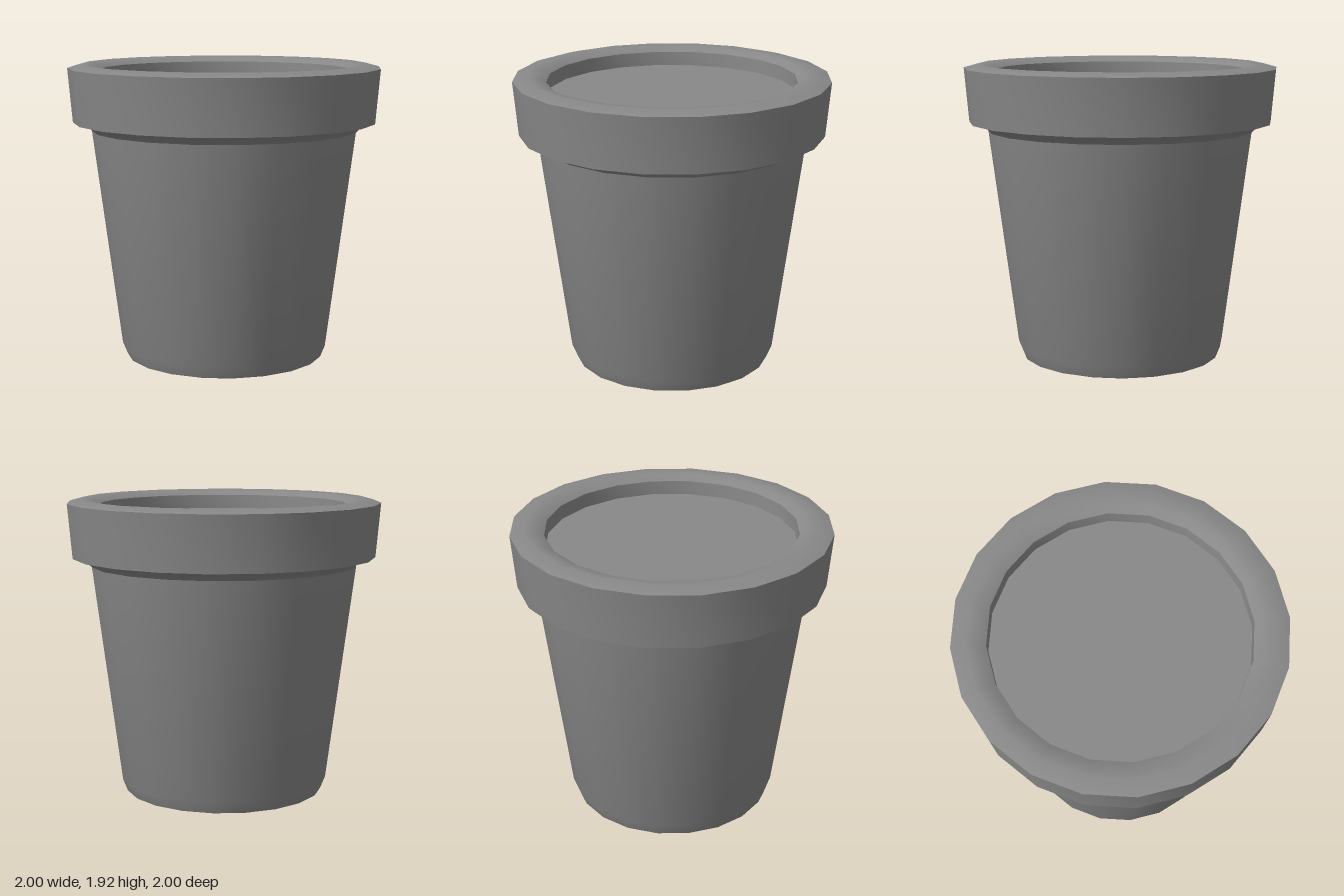
import * as THREE from 'three';
import { toCreasedNormals } from 'three/addons/utils/BufferGeometryUtils.js';

const SIDES = 20;
const CREASE = 0.65;

export function createModel() {
  const group = new THREE.Group();
  group.name = 'flowerPot';
  const material = new THREE.MeshStandardMaterial({ color: 0x888888 });

  const add = (name, geometry) => {
    const mesh = new THREE.Mesh(geometry, material);
    mesh.name = name;
    group.add(mesh);
    return mesh;
  };
  const lathe = (profile) => toCreasedNormals(
    new THREE.LatheGeometry(profile.map(([r, y]) => new THREE.Vector2(r, y)), SIDES), CREASE);

  // Tapered pot body with a rounded foot
  add('body', lathe([[0, 0], [0.56, 0], [0.64, 0.025], [0.67, 0.1], [0.85, 1.495]]));

  // Thick collar: underside, flared band, rounded top and inner wall
  add('rim', lathe([
    [0.85, 1.495], [0.89, 1.535], [0.97, 1.55],
    [1, 1.895], [0.91, 1.92], [0.84, 1.91], [0.79, 1.885],
    [0.785, 1.795],
  ]));

  // Flat soil surface closing the pot
  const soil = add('soil', new THREE.CircleGeometry(0.787, SIDES));
  soil.rotation.x = -Math.PI / 2;
  soil.position.y = 1.795;

  return group;
}
